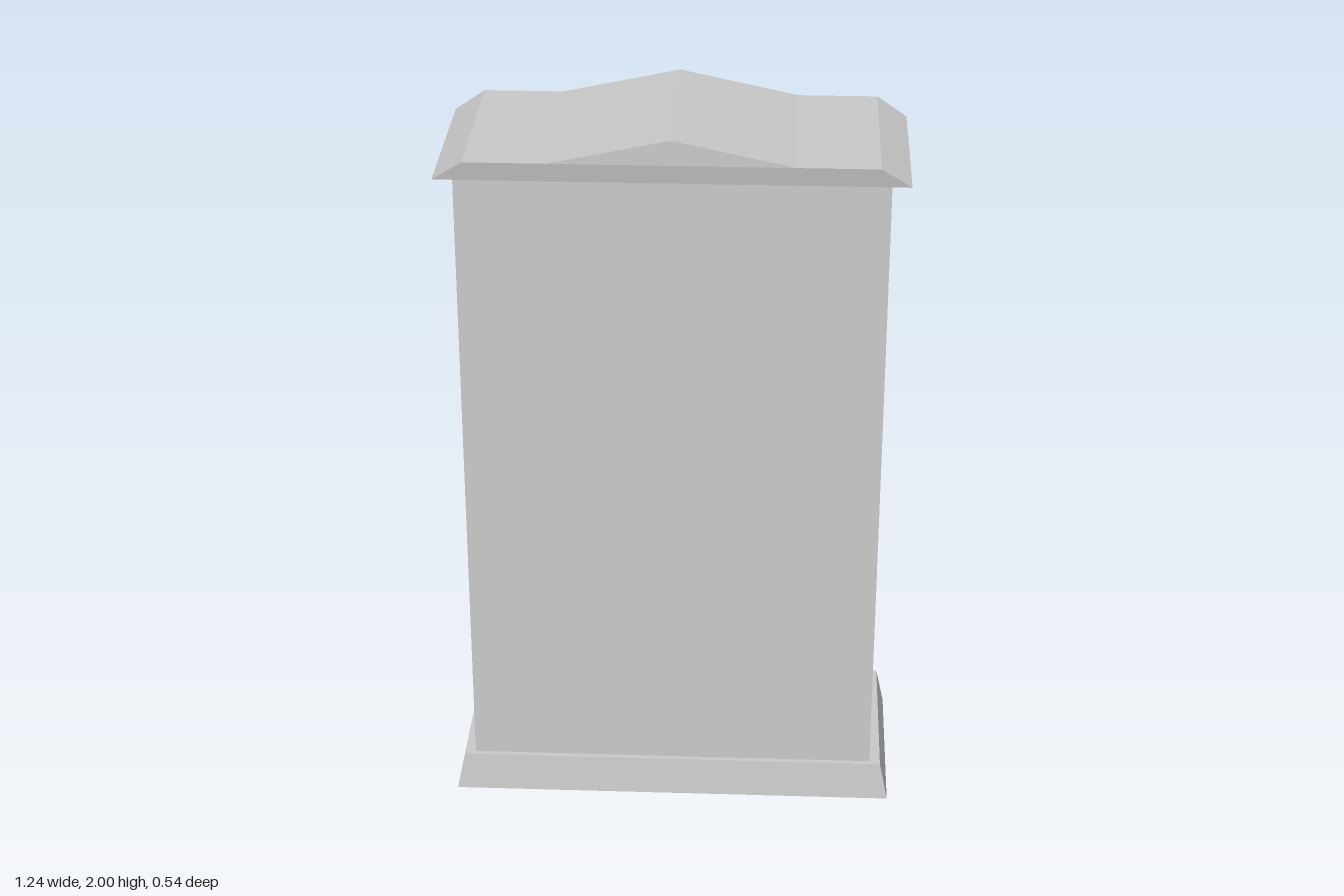
import * as THREE from 'three';

const material = new THREE.MeshStandardMaterial({ color: 0xcccccc, flatShading: true });
const thin = new THREE.MeshStandardMaterial({ color: 0xcccccc, flatShading: true, side: THREE.DoubleSide });

// Main dimensions
const W = 0.565, D = 0.235, WALL = 0.037;
const BOTTOM = 0.11, TOP = 1.88, INNER = W - WALL, PANEL = 0.035;

function add(group, name, geometry, mat = material) {
  const mesh = new THREE.Mesh(geometry, mat);
  mesh.name = name;
  group.add(mesh);
  return mesh;
}

function box(x0, x1, y0, y1, z0, z1) {
  return new THREE.BoxGeometry(x1 - x0, y1 - y0, z1 - z0)
    .translate((x0 + x1) / 2, (y0 + y1) / 2, (z0 + z1) / 2);
}

const polygon = (points) => points.map(([x, y]) => new THREE.Vector2(x, y));

// Open sheet through a stack of rectangles [y, halfWidth, halfDepth]
function rectangleLoft(sections) {
  const positions = [], index = [];
  for (const [y, w, d] of sections) positions.push(-w, y, d, w, y, d, w, y, -d, -w, y, -d);
  for (let s = 0; s < sections.length - 1; s++) {
    for (let i = 0; i < 4; i++) {
      const a = s * 4 + i, b = s * 4 + (i + 1) % 4;
      index.push(a, b, b + 4, a, b + 4, a + 4);
    }
  }
  const g = new THREE.BufferGeometry();
  g.setAttribute('position', new THREE.Float32BufferAttribute(positions, 3));
  g.setIndex(index);
  const flat = g.toNonIndexed();
  flat.computeVertexNormals();
  return flat;
}

export function createModel() {
  const model = new THREE.Group();
  model.name = 'bookcase';

  // Carcass: sides, shelves and top in one, hollow below the bottom shelf
  const outline = new THREE.Shape(polygon([
    [-W, BOTTOM], [-INNER, BOTTOM], [-INNER, 0.175], [INNER, 0.175],
    [INNER, BOTTOM], [W, BOTTOM], [W, TOP], [-W, TOP],
  ]));
  for (const [low, high] of [[0.18, 0.505], [0.59, 0.92], [1.005, 1.335], [1.42, 1.83]]) {
    outline.holes.push(new THREE.Path(polygon([
      [-INNER, low], [-INNER, high], [INNER, high], [INNER, low],
    ])));
  }
  const carcass = new THREE.ExtrudeGeometry(outline, { depth: 2 * D - PANEL, bevelEnabled: false });
  add(model, 'carcassWithShelves', carcass.translate(0, 0, -D));

  // Closed panel and the rail under the bottom shelf
  add(model, 'panel', box(-W, W, BOTTOM, TOP, D - PANEL, D));
  add(model, 'bottomRail', box(-INNER, INNER, BOTTOM, 0.178, -D, -D + PANEL));

  // Flared hollow plinth with a ledge up to the carcass
  add(model, 'plinth', rectangleLoft([[0, 0.618, 0.26], [BOTTOM, 0.595, 0.25], [BOTTOM, W, D]]), thin);

  // Pediment roof, its faces leaning in towards the lower edge
  const half = [[0.615, TOP], [0.535, 1.932], [0.32, 1.932]];
  const mirrored = half.map(([x, y]) => [-x, y]).reverse();
  const roof = new THREE.ExtrudeGeometry(
    new THREE.Shape(polygon([...half, [0, 2], ...mirrored])),
    { depth: 0.54, bevelEnabled: false },
  ).translate(0, 0, -0.27);
  const p = roof.attributes.position;
  for (let i = 0; i < p.count; i++) {
    if (p.getY(i) < 1.9) p.setZ(i, Math.sign(p.getZ(i)) * 0.26);
  }
  roof.computeVertexNormals();
  add(model, 'roof', roof);

  return model;
}
